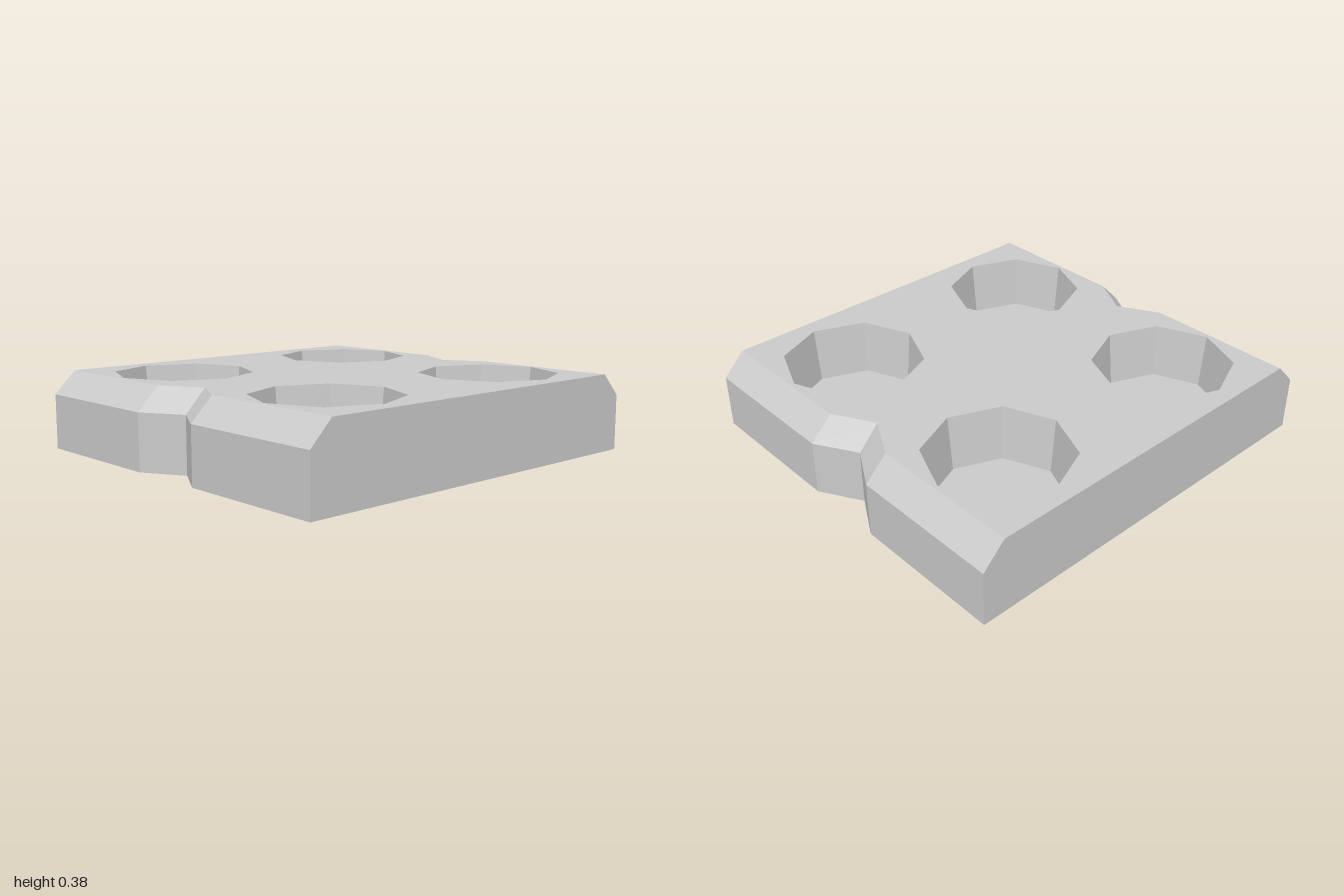
import * as THREE from 'three';

const TOP = 0.38, SHOULDER = 0.27, FLOOR = 0.11;
const material = new THREE.MeshStandardMaterial({ color: 0xcccccc, flatShading: true });

// Plan points are [x, -z], counter-clockwise from above.
function outline(side, notch) {
  return [[side, -0.94], [side, -0.2], [notch, 0], [side, 0.2], [side, 0.94],
    [-side, 0.94], [-side, 0.2], [-notch, 0], [-side, -0.2], [-side, -0.94]];
}

function octagon(cx, cy, r) {
  return Array.from({ length: 8 }, (_, i) => {
    const a = i * Math.PI / 4;
    return [cx + r * Math.cos(a), cy + r * Math.sin(a)];
  });
}

// Wall joining two matching loops at different heights
function wall(lower, y0, upper, y1) {
  const pos = [];
  lower.forEach((p, i) => {
    const j = (i + 1) % lower.length;
    const a = [p[0], y0, -p[1]], b = [lower[j][0], y0, -lower[j][1]];
    const c = [upper[j][0], y1, -upper[j][1]], d = [upper[i][0], y1, -upper[i][1]];
    pos.push(...a, ...b, ...c, ...a, ...c, ...d);
  });
  const g = new THREE.BufferGeometry();
  g.setAttribute('position', new THREE.Float32BufferAttribute(pos, 3));
  g.computeVertexNormals();
  return g;
}

const vectors = (points) => points.map(([x, y]) => new THREE.Vector2(x, y));

// Flat horizontal face, optionally pierced
function face(points, y, holes = []) {
  const shape = new THREE.Shape(vectors(points));
  shape.holes = holes.map((h) => new THREE.Path(vectors(h)));
  return new THREE.ShapeGeometry(shape).rotateX(-Math.PI / 2).translate(0, y, 0);
}

export function createModel() {
  const model = new THREE.Group();
  model.name = 'notchedTray';
  const add = (parent, name, geometry) => {
    const mesh = new THREE.Mesh(geometry, material);
    mesh.name = name;
    parent.add(mesh);
  };

  const base = outline(1, 0.885), crown = outline(0.89, 0.78);
  const rims = [];

  // Four tapered octagonal wells
  for (const x of [-0.53, 0.53]) for (const y of [-0.518, 0.518]) {
    const rim = octagon(x, y, 0.34), floor = octagon(x, y, 0.313);
    rims.push(rim);
    const well = new THREE.Group();
    well.name = 'well';
    add(well, 'wellWall', wall([...floor].reverse(), FLOOR, [...rim].reverse(), TOP));
    add(well, 'wellFloor', face(floor, FLOOR));
    model.add(well);
  }

  // Body shell with bevelled, notched sides
  add(model, 'sideWalls', wall(base, 0, base, SHOULDER));
  add(model, 'bevel', wall(base, SHOULDER, crown, TOP));
  add(model, 'topFace', face(crown, TOP, rims));
  add(model, 'underside', face(base, 0).rotateX(Math.PI));
  return model;
}
